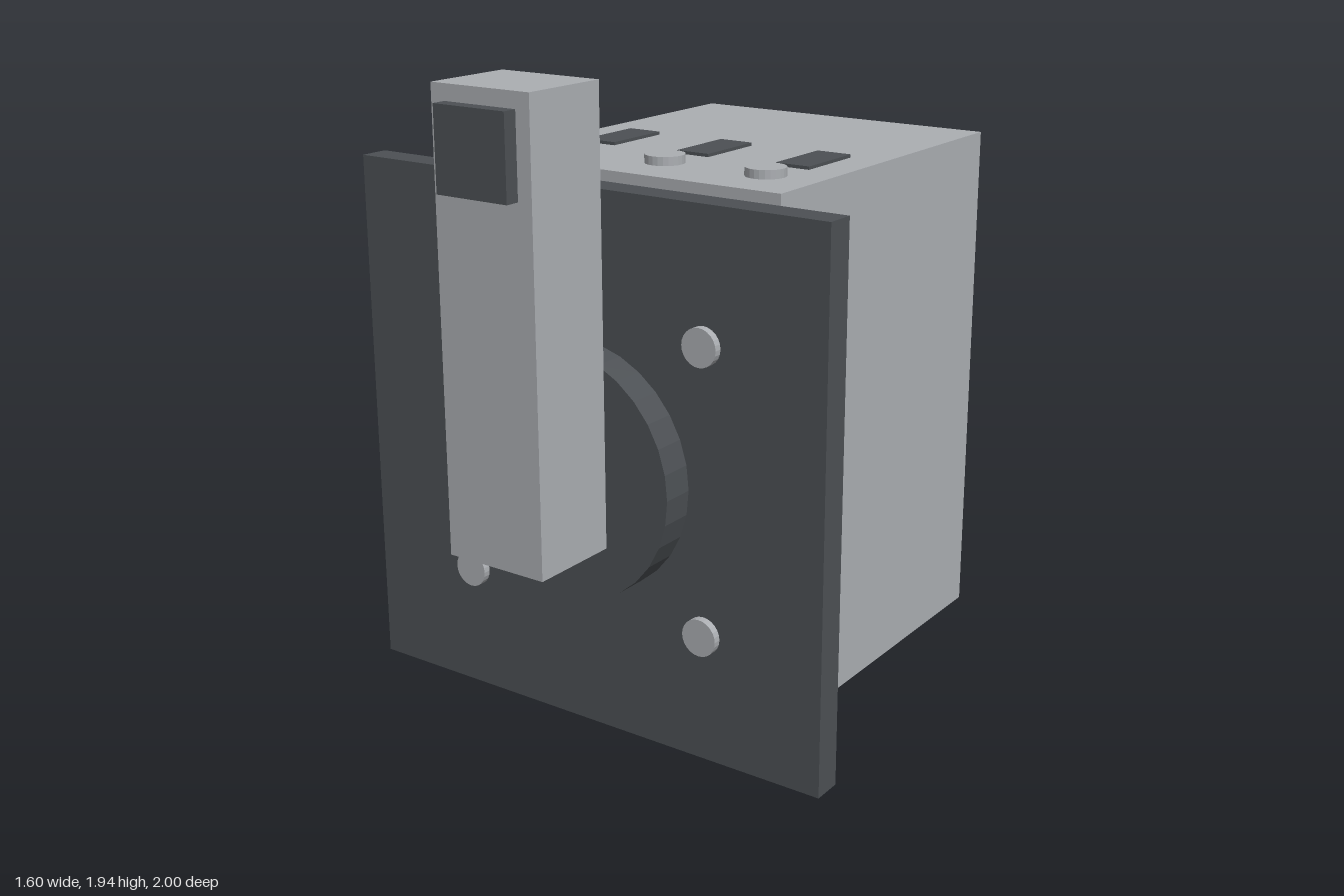
import * as THREE from 'three';

export function createModel() {
  const model = new THREE.Group();
  model.name = 'rotarySwitch';

  const lightGrey = new THREE.MeshStandardMaterial({ name: 'light grey', color: 0xabaeb2, flatShading: true });
  const darkGrey = new THREE.MeshStandardMaterial({ name: 'dark grey', color: 0x4c5054, flatShading: true });

  const add = (name, geometry, material) => {
    const mesh = new THREE.Mesh(geometry, material);
    mesh.name = name;
    model.add(mesh);
    return mesh;
  };
  // Box given by its extents along each axis
  const box = (name, material, [x0, x1], [y0, y1], [z0, z1]) =>
    add(name, new THREE.BoxGeometry(x1 - x0, y1 - y0, z1 - z0), material)
      .position.set((x0 + x1) / 2, (y0 + y1) / 2, (z0 + z1) / 2);
  // Disc along z, from z0 to z1
  const discZ = (name, material, radius, x, y, z0, z1, sides = 32) => {
    const geometry = new THREE.CylinderGeometry(radius, radius, z1 - z0, sides).rotateX(Math.PI / 2);
    add(name, geometry, material).position.set(x, y, (z0 + z1) / 2);
  };

  const axisY = 0.83;

  // Switch body with its rear cover
  box('body', lightGrey, [-0.515, 0.515], [0.03, 1.63], [-0.82, 0.36]);
  box('rearCover', lightGrey, [-0.42, 0.42], [0.17, 1.49], [-1, -0.82]);

  // Shaft and collar joining the body to the front plate
  discZ('shaft', lightGrey, 0.093, 0, axisY, 0.36, 0.41, 24);
  discZ('collar', lightGrey, 0.14, 0, axisY, 0.41, 0.49, 24);

  // Front plate with four mounting screws
  box('frontPlate', darkGrey, [-0.8, 0.8], [0.03, 1.63], [0.49, 0.58]);
  for (const x of [-0.418, 0.418])
    for (const y of [0.412, 1.248])
      discZ('plateScrew', lightGrey, 0.055, x, y, 0.58, 0.603, 24);

  // Turning knob: round base, upright handle and marker
  discZ('knobBase', darkGrey, 0.37, 0, axisY, 0.58, 0.68);
  box('handle', lightGrey, [-0.162, 0.162], [0.645, 1.94], [0.68, 0.957]);
  box('handleMarker', darkGrey, [-0.117, 0.117], [1.662, 1.895], [0.957, 1]);

  // Terminal screws and wire slots on the top and bottom of the body
  for (const x of [-0.345, 0, 0.345]) {
    for (const [face, out] of [[1.63, 1], [0.03, -1]]) {
      const screw = new THREE.CylinderGeometry(0.06, 0.06, 0.026, 24);
      add('terminalScrew', screw, lightGrey).position.set(x, face + out * 0.013, 0.17);
      const slot = new THREE.BoxGeometry(0.112, 0.0095, 0.232);
      add('wireSlot', slot, darkGrey).position.set(x, face + out * 0.00475, -0.084);
    }
  }
  return model;
}
